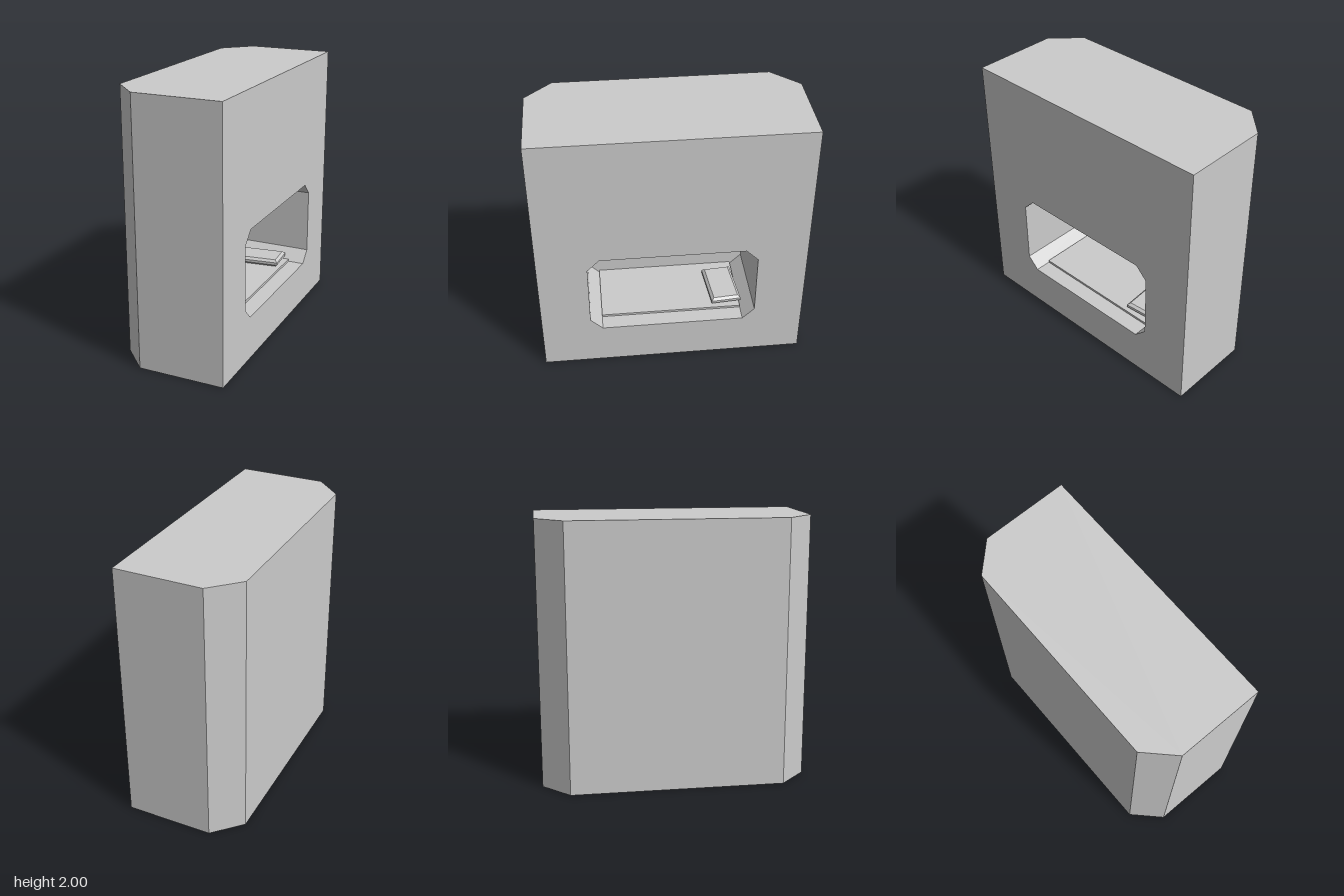
import * as THREE from 'three';

const material = new THREE.MeshStandardMaterial({ color: 0xcccccc, flatShading: true });

function polygon(points, Type = THREE.Shape) {
  return new Type(points.map(([a, b]) => new THREE.Vector2(a, b)));
}

function part(name, geometry) {
  const mesh = new THREE.Mesh(geometry, material);
  mesh.name = name;
  return mesh;
}

export function createModel() {
  const group = new THREE.Group();
  group.name = 'fireplaceBlock';

  const back = -0.43, mid = -0.23, front = 0.425;

  // Hollow main block: the side profile with a chamfered opening, extruded along x
  const wall = polygon([[-1, 0], [1, 0], [1, 2], [-1, 2]]);
  const w = 0.63, y0 = 0.33, y1 = 1.005, c = 0.09;
  wall.holes.push(polygon([
    [-w, y0 + c], [-w, y1 - c], [-w + c, y1], [w - c, y1],
    [w, y1 - c], [w, y0 + c], [w - c, y0], [-w + c, y0],
  ], THREE.Path));
  const blockGeometry = new THREE.ExtrudeGeometry(wall, { depth: front - mid, bevelEnabled: false });
  blockGeometry.rotateY(Math.PI / 2).translate(mid, 0, 0);
  group.add(part('hollowBlock', blockGeometry));

  // Solid rear part with two chamfered vertical corners, closing the recess
  const plan = polygon([[mid, -1], [mid, 1], [back, 0.8], [back, -0.8]]);
  const rearGeometry = new THREE.ExtrudeGeometry(plan, { depth: 2, bevelEnabled: false });
  rearGeometry.rotateX(-Math.PI / 2);
  group.add(part('chamferedRear', rearGeometry));

  // Thin raised hearth on the recess floor
  const hearth = part('hearthSlab', new THREE.BoxGeometry(0.53, 0.02, 1.08));
  hearth.position.set(mid + 0.265, 0.338, 0);
  group.add(hearth);

  // Loose bevelled tile lying on the hearth
  const l = 0.175, d = 0.095;
  const tileGeometry = new THREE.ExtrudeGeometry(
    polygon([[-l, -d], [l, -d], [l, d], [-l, d]]),
    { depth: 0.02, bevelThickness: 0.018, bevelSize: 0.02, bevelSegments: 1 }
  );
  tileGeometry.translate(0, 0, -0.01).rotateX(-Math.PI / 2);
  const tile = part('looseTile', tileGeometry);
  tile.position.set(0.08, 0.38, -0.42);
  tile.rotation.set(0, 0.08, 0.02);
  group.add(tile);

  return group;
}
